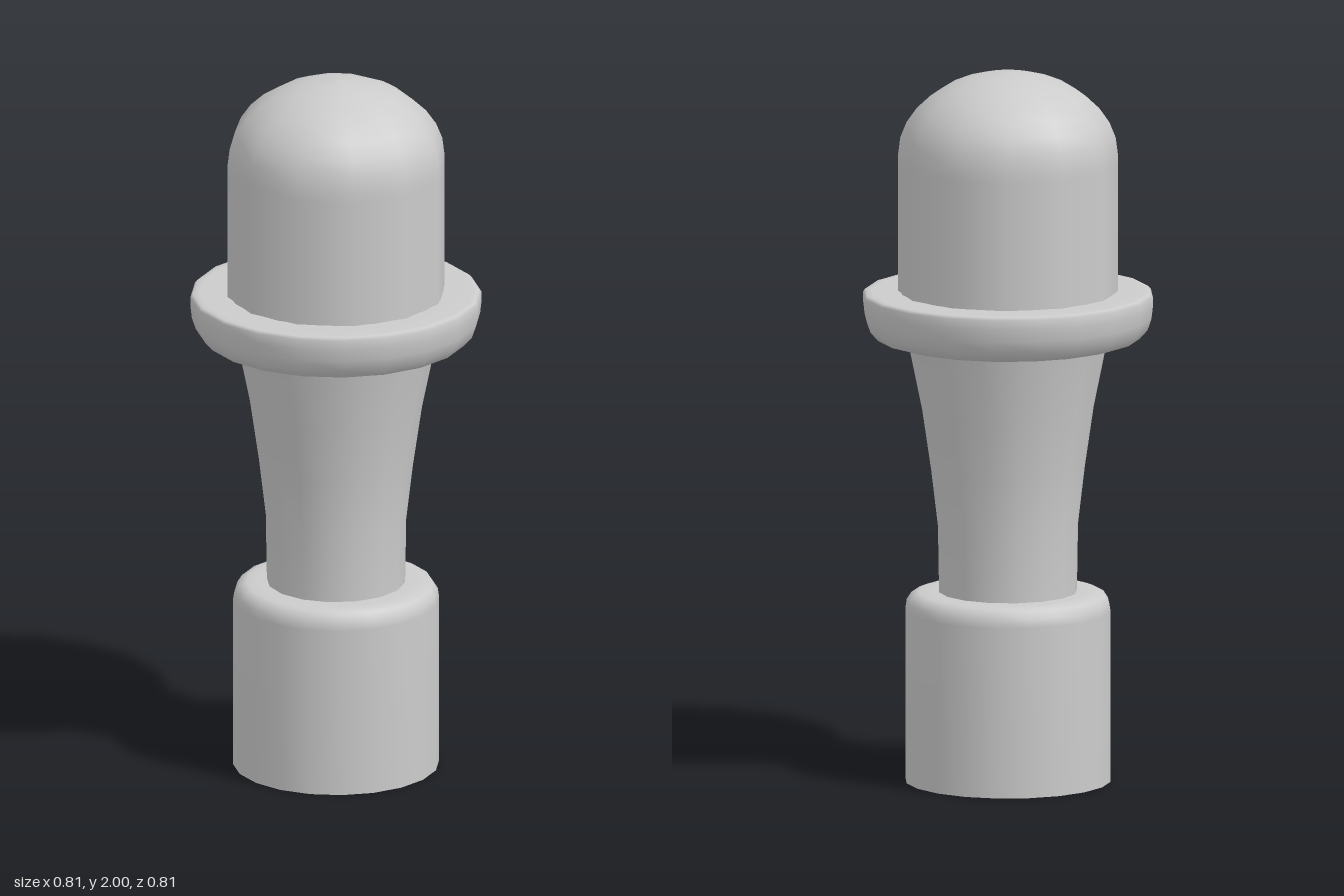
import * as THREE from 'three';

const material = new THREE.MeshStandardMaterial({ color: 0xcccccc, side: THREE.DoubleSide });

// Turned part: profile points are [radius, height], listed from bottom to top
function turned(name, sides, profile) {
  const points = profile.map(([r, y]) => new THREE.Vector2(r, y));
  const mesh = new THREE.Mesh(new THREE.LatheGeometry(points, sides), material);
  mesh.name = name;
  return mesh;
}

export function createModel() {
  const model = new THREE.Group();
  model.name = 'turnedPeg';

  // Hollow base sleeve, open underneath, with a rounded shoulder
  model.add(turned('base', 20, [
    [0.287, 0], [0.287, 0.02], [0.287, 0.48], [0.283, 0.505],
    [0.27, 0.525], [0.25, 0.533], [0.22, 0.534], [0.19, 0.534],
  ]));

  // Neck flaring upwards
  model.add(turned('neck', 16, [
    [0.193, 0.534], [0.196, 0.72], [0.215, 0.88], [0.24, 1.05], [0.28, 1.245],
  ]));

  // Collar: flat on top, rounded underneath
  model.add(turned('collar', 20, [
    [0.275, 1.243], [0.335, 1.243], [0.368, 1.253], [0.39, 1.278],
    [0.401, 1.31], [0.405, 1.345], [0.405, 1.372], [0.398, 1.38],
    [0.38, 1.381], [0.3, 1.381],
  ]));

  // Domed head
  const head = [[0.305, 1.375], [0.305, 1.4], [0.305, 1.74]];
  const steps = 8;
  for (let i = 0; i <= steps; i++) {
    const a = (i / steps) * Math.PI / 2;
    head.push([i === steps ? 0 : 0.305 * Math.cos(a), 1.77 + 0.23 * Math.sin(a)]);
  }
  model.add(turned('head', 12, head));

  return model;
}
